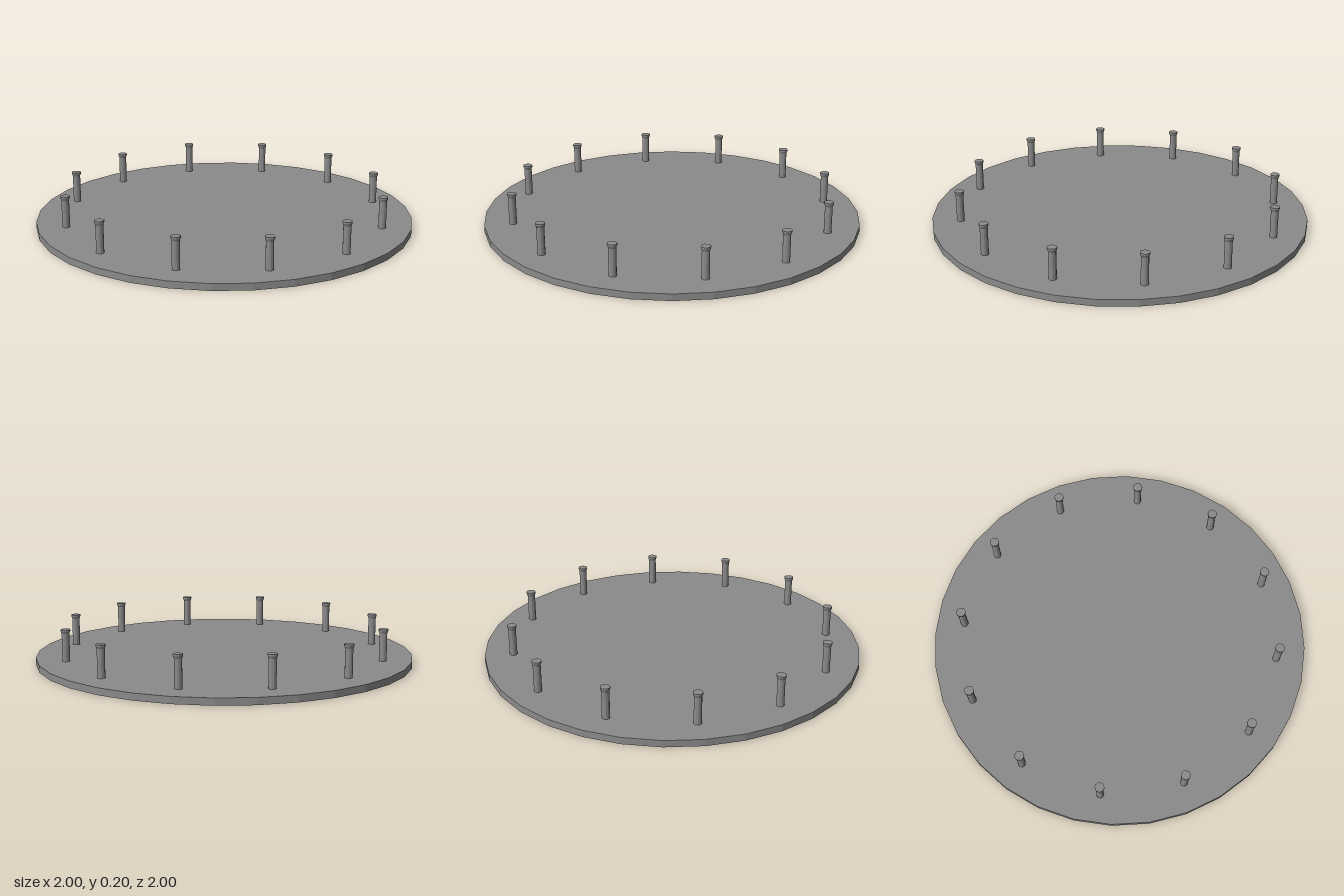
import * as THREE from 'three';

export function createModel() {
  const model = new THREE.Group();
  const material = new THREE.MeshStandardMaterial({ color: 0x8b8b8b, flatShading: true });

  // Thin round base plate
  const thickness = 0.036;
  const plate = new THREE.Mesh(new THREE.CylinderGeometry(1, 1, thickness, 32), material);
  plate.name = 'basePlate';
  plate.position.y = thickness / 2;
  model.add(plate);

  // Post profile: straight shaft flaring into a small flat head
  const profile = [
    [0, 0], [0.02, 0], [0.02, 0.146], [0.025, 0.158], [0.025, 0.167], [0, 0.167],
  ].map(([r, y]) => new THREE.Vector2(r, y));
  const postGeometry = new THREE.LatheGeometry(profile, 12);

  // Ring of twelve posts
  const posts = new THREE.Group();
  posts.name = 'postRing';
  const count = 12, ringRadius = 0.849, offset = THREE.MathUtils.degToRad(15.65);
  for (let i = 0; i < count; i++) {
    const a = offset + (i / count) * Math.PI * 2;
    const post = new THREE.Mesh(postGeometry, material);
    post.name = `post${i + 1}`;
    post.position.set(Math.cos(a) * ringRadius, thickness, Math.sin(a) * ringRadius);
    post.rotation.y = -a;
    posts.add(post);
  }
  model.add(posts);

  return model;
}
